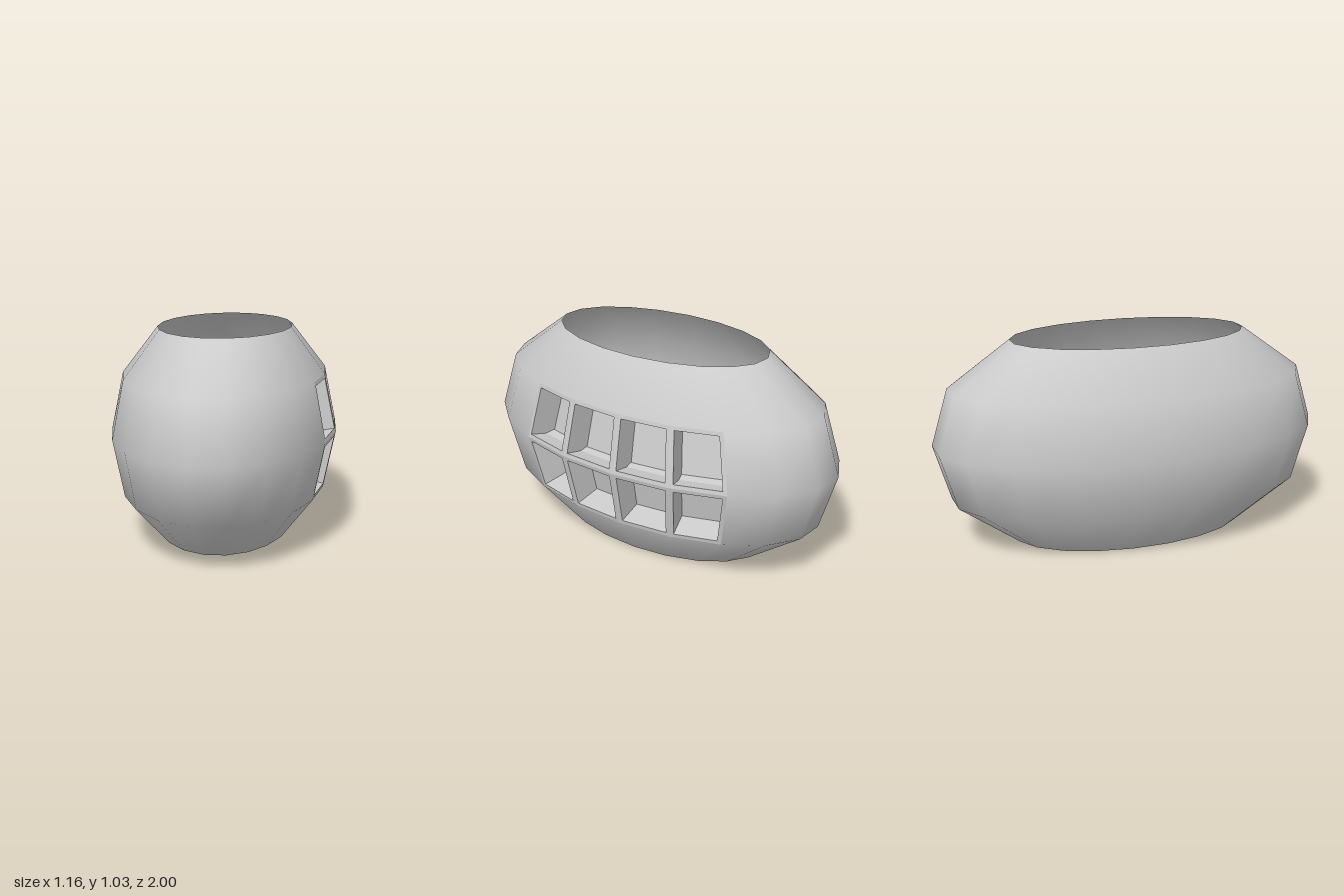
import * as THREE from 'three';

const SIDES = 20;
// each ring: height, x radius, z radius, z skew of the slanted ellipse
const RINGS = [
  [0, 0.35, 0.59, 0.13],
  [0.227, 0.527, 0.897, 0.19],
  [0.514, 0.589, 0.98, 0.21],
  [0.8, 0.527, 0.897, 0.19],
  [1.027, 0.35, 0.59, 0.13],
];
const INSET = 0.02, DEPTH = 0.14;

const material = () => new THREE.MeshStandardMaterial({ color: 0xcccccc, side: THREE.DoubleSide });
const isWindow = (r, k) => (r === 1 || r === 2) && k >= 16;

function ringPoint(r, k) {
  const [y, rx, rz, skew] = RINGS[r];
  const t = THREE.MathUtils.degToRad(9 + 18 * k);
  return new THREE.Vector3(rx * Math.cos(t), y, rz * Math.sin(t) + skew * Math.cos(t));
}

// smooth open shell, with the window cells left out
function makeShell() {
  const positions = [], all = [], kept = [];
  for (let r = 0; r < RINGS.length; r++)
    for (let k = 0; k < SIDES; k++) positions.push(...ringPoint(r, k).toArray());
  for (let r = 0; r < RINGS.length - 1; r++)
    for (let k = 0; k < SIDES; k++) {
      const n = (k + 1) % SIDES;
      const a = r * SIDES + k, b = r * SIDES + n, c = b + SIDES, d = a + SIDES;
      const faces = [b, a, d, b, d, c];
      all.push(...faces);
      if (!isWindow(r, k)) kept.push(...faces);
    }
  const geometry = new THREE.BufferGeometry();
  geometry.setAttribute('position', new THREE.Float32BufferAttribute(positions, 3));
  geometry.setIndex(all);
  geometry.computeVertexNormals(); // normals from the complete shell stay smooth at the windows
  geometry.setIndex(kept);
  return new THREE.Mesh(geometry, material());
}

// flat frame, four walls and back of one recessed window
function makeWindow(r, k) {
  const outer = [ringPoint(r, k + 1), ringPoint(r, k), ringPoint(r + 1, k), ringPoint(r + 1, k + 1)];
  const normal = outer[2].clone().sub(outer[0])
    .cross(outer[3].clone().sub(outer[1])).normalize();
  const toward = (from, to) => to.clone().sub(from).setLength(INSET);
  const inner = outer.map((p, i) => p.clone()
    .add(toward(p, outer[(i + 1) % 4])).add(toward(p, outer[(i + 3) % 4])));
  const back = inner.map((p) => p.clone().addScaledVector(normal, -DEPTH));
  const positions = [];
  const quad = (a, b, c, d) => [a, b, c, a, c, d].forEach((p) => positions.push(p.x, p.y, p.z));
  for (let i = 0; i < 4; i++) {
    const j = (i + 1) % 4;
    quad(outer[i], outer[j], inner[j], inner[i]);
    quad(inner[i], inner[j], back[j], back[i]);
  }
  quad(...back);
  const geometry = new THREE.BufferGeometry();
  geometry.setAttribute('position', new THREE.Float32BufferAttribute(positions, 3));
  geometry.computeVertexNormals();
  return new THREE.Mesh(geometry, material());
}

export function createModel() {
  const model = new THREE.Group();
  model.name = 'windowedShell';
  const shell = makeShell();
  shell.name = 'shell';
  model.add(shell);

  const windows = new THREE.Group();
  windows.name = 'windows';
  for (let r = 1; r <= 2; r++)
    for (let k = 16; k < SIDES; k++) {
      const pane = makeWindow(r, k);
      pane.name = (r === 1 ? 'lowerWindow' : 'upperWindow') + (k - 15);
      windows.add(pane);
    }
  model.add(windows);
  return model;
}
